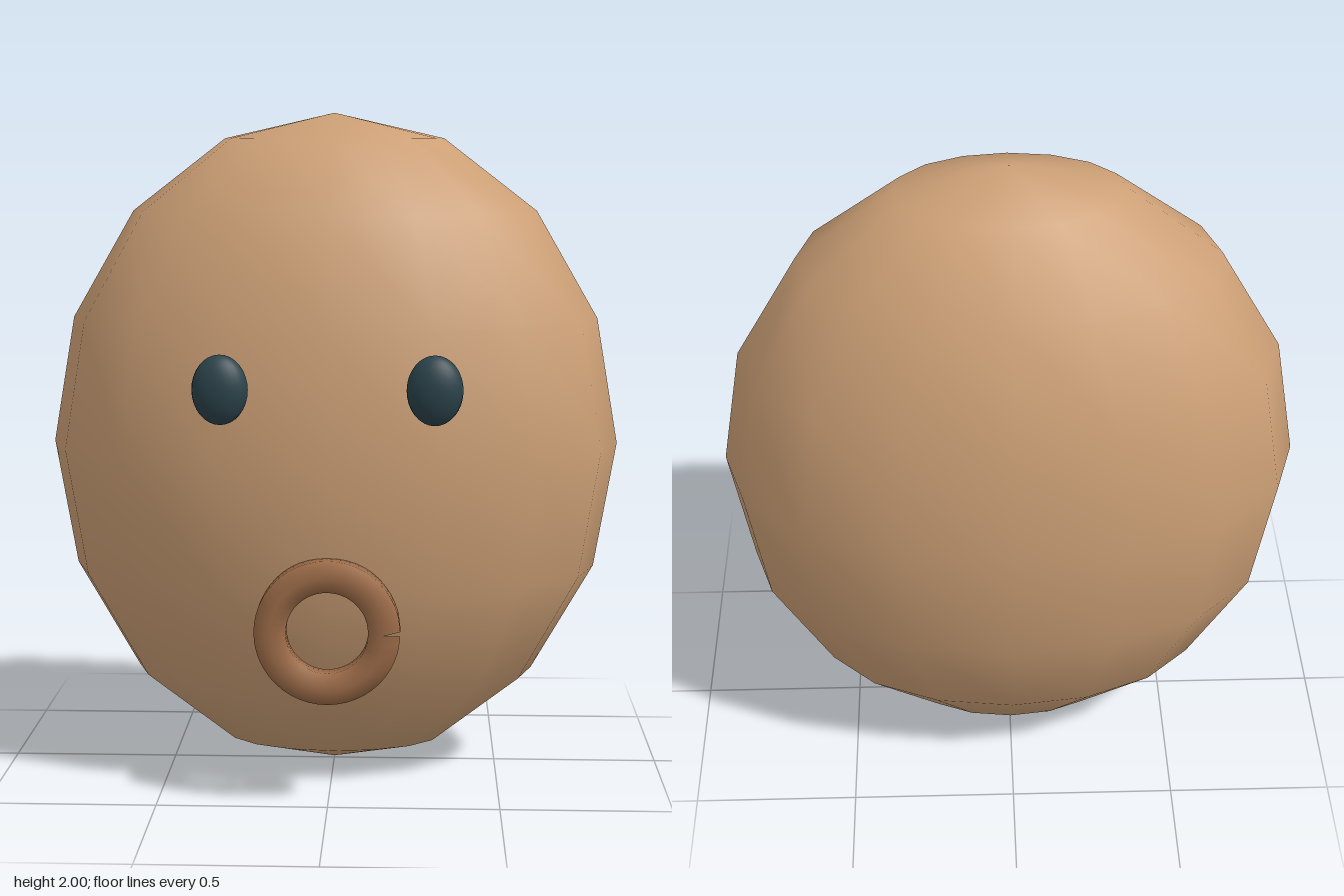
import * as THREE from 'three';

const skin = new THREE.MeshStandardMaterial({ name: 'tan skin', color: 0xcda076 });
const lip = new THREE.MeshStandardMaterial({ name: 'brown lip', color: 0x9c6b48 });
const dark = new THREE.MeshStandardMaterial({ name: 'dark slate', color: 0x2b434b });

function addMesh(group, name, geometry, material, x, y, z) {
  const mesh = new THREE.Mesh(geometry, material);
  mesh.name = name;
  mesh.position.set(x, y, z);
  group.add(mesh);
  return mesh;
}

export function createModel() {
  const group = new THREE.Group();
  group.name = 'face';

  // Flattened egg-shaped head, smooth shaded with a coarse outline
  const head = new THREE.SphereGeometry(1, 16, 8).scale(0.866, 1, 0.54);
  addMesh(group, 'head', head, skin, 0, 1, -0.018);

  // Oval eyes
  for (const side of [1, -1]) {
    const eye = new THREE.SphereGeometry(1, 24, 16).scale(0.08, 0.1, 0.05);
    addMesh(group, side > 0 ? 'leftEye' : 'rightEye', eye, dark, side * 0.304, 1.22, 0.505);
  }

  // Ring mouth: an open six-sided tube whose ends meet in a small notch at +x
  const points = [];
  for (let i = 0; i <= 24; i++) {
    const a = (i / 24) * Math.PI * 2;
    points.push(new THREE.Vector3(Math.cos(a) * 0.164, Math.sin(a) * 0.164, 0));
  }
  const ring = new THREE.TubeGeometry(new THREE.CatmullRomCurve3(points), 48, 0.053, 6, false);
  addMesh(group, 'mouth', ring, lip, 0, 0.525, 0.506);

  return group;
}
